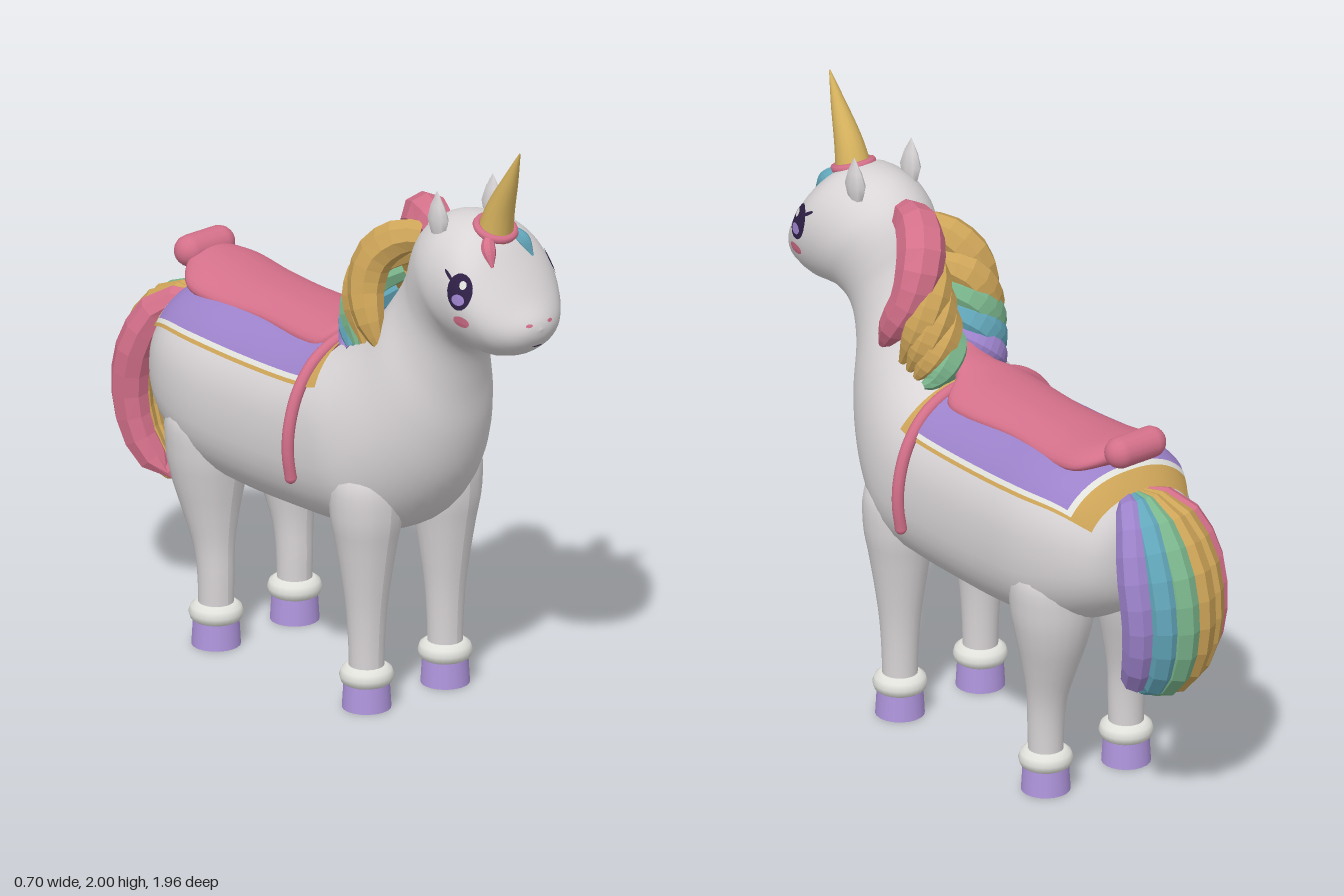
import * as THREE from 'three';

const V = (x, y, z) => new THREE.Vector3(x, y, z);
const paint = (name, color) => Object.assign(new THREE.MeshStandardMaterial({ color }), { name });
const white = paint('coat white', 0xd9d5d7), pale = paint('trim white', 0xe2e2dd);
const pink = paint('rose pink', 0xd4708a), gold = paint('hair gold', 0xcda458);
const hornGold = paint('horn gold', 0xdfba62), purple = paint('violet', 0x9c82ca);
const lilac = paint('hoof lilac', 0xb096dd), green = paint('green', 0x7ab58c);
const blue = paint('blue', 0x62a6ba), dark = paint('eye dark', 0x2e2046);

// Surface through oval sections: [top z, top y, bottom z, bottom y, half width, squareness]
function ovalSurface(rows) {
  const top = new THREE.CatmullRomCurve3(rows.map(r => V(r[4], r[1], r[0])), false, 'catmullrom');
  const low = new THREE.CatmullRomCurve3(rows.map(r => V(r[5] || 2, r[3], r[2])), false, 'catmullrom');
  const pow = (v, e) => Math.sign(v) * Math.abs(v) ** e;
  return (u, a, lift = 0) => {
    const t = top.getPoint(u / (rows.length - 1)), b = low.getPoint(u / (rows.length - 1));
    const e = 2 / b.x, s = pow(Math.sin(a), e);
    const off = V(Math.max(t.x, 0) * pow(Math.cos(a), e), (t.y - b.y) / 2 * s, (t.z - b.z) / 2 * s);
    off.multiplyScalar(1 + lift / Math.max(off.length(), 0.05));
    return off.add(V(0, (t.y + b.y) / 2, (t.z + b.z) / 2));
  };
}

// Grid of points over a surface; closed grids wrap around without a seam
function gridGeometry(f, u0, u1, nu, a0, a1, na, closed, lift = 0) {
  const pos = [], idx = [], cols = closed ? na : na + 1;
  for (let i = 0; i <= nu; i++) for (let j = 0; j < cols; j++)
    pos.push(...f(u0 + (u1 - u0) * i / nu, a0 + (a1 - a0) * j / na, lift).toArray());
  for (let i = 0; i < nu; i++) for (let j = 0; j < na; j++) {
    const k = (j + 1) % cols, a = i * cols + j, b = i * cols + k, c = a + cols, d = b + cols;
    idx.push(a, b, c, b, d, c);
  }
  const g = new THREE.BufferGeometry();
  g.setAttribute('position', new THREE.Float32BufferAttribute(pos, 3));
  g.setIndex(idx);
  g.computeVertexNormals();
  return g;
}

// Tapered tube along a path, faceted for hair
function strandGeometry(points, radii, steps, sides, faceted) {
  const curve = new THREE.CatmullRomCurve3(points);
  const rad = new THREE.CatmullRomCurve3(radii.map((r, i) => V(r, i, 0)));
  let g = new THREE.TubeGeometry(curve, steps, 1, sides);
  const p = g.attributes.position, n = g.attributes.normal;
  for (let i = 0; i < p.count; i++) {
    const t = Math.floor(i / (sides + 1)) / steps;
    const c = curve.getPointAt(t), r = Math.max(rad.getPoint(t).x, 0.002);
    p.setXYZ(i, c.x + n.getX(i) * r, c.y + n.getY(i) * r, c.z + n.getZ(i) * r);
  }
  if (faceted) { g = g.toNonIndexed(); g.computeVertexNormals(); }
  return g;
}

export function createModel() {
  const model = new THREE.Group();
  model.name = 'unicorn';
  const add = (name, geo, mat, x = 0, y = 0, z = 0) => {
    const m = new THREE.Mesh(geo, mat);
    m.name = name;
    m.position.set(x, y, z);
    model.add(m);
    return m;
  };
  const hair = (name, pts, radii, mat) => add(name, strandGeometry(pts, radii, 11, 8, true), mat);

  // Rump, belly, neck and head as one skin
  const skin = ovalSurface([
    [-.72, .88, -.72, .88, 0], [-.705, 1.0, -.70, .77, .14, 2.2], [-.66, 1.08, -.65, .69, .22, 2.3],
    [-.56, 1.15, -.54, .62, .285, 2.4], [-.4, 1.17, -.4, .57, .315, 2.4], [-.2, 1.165, -.2, .55, .31, 2.4],
    [0, 1.165, 0, .55, .305, 2.4], [.12, 1.175, .2, .56, .305, 2.4], [.18, 1.2, .36, .58, .30, 2.3],
    [.24, 1.25, .48, .67, .275, 2.1], [.29, 1.31, .57, .80, .24], [.34, 1.38, .615, .95, .205],
    [.385, 1.45, .63, 1.1, .17], [.42, 1.52, .65, 1.21, .157], [.44, 1.58, .68, 1.275, .163],
    [.47, 1.64, .725, 1.305, .178], [.52, 1.69, .765, 1.31, .195], [.60, 1.73, .80, 1.305, .202],
    [.72, 1.735, .835, 1.305, .202], [.80, 1.69, .87, 1.315, .19], [.865, 1.605, .91, 1.33, .162],
    [.925, 1.52, .95, 1.36, .115], [.97, 1.465, .975, 1.395, .055], [.983, 1.43, .983, 1.43, 0],
  ]);
  const body = add('body', gridGeometry(skin, 0, 23, 92, 0, Math.PI * 2, 40, true), white);

  // Saddle blanket: gold border, white piping, violet cloth
  for (const [name, mat, u0, u1, a, lift] of [
    ['blanketBorder', gold, 1.95, 7.8, .57, .012], ['blanketPiping', pale, 2.6, 7.25, .615, .016],
    ['blanketCloth', purple, 2.74, 7.12, .675, .02]]) {
    const g = gridGeometry(skin, u0, u1, 36, a, Math.PI - a, 28, false, lift);
    add(name, g, mat);
    const under = g.clone();
    const ix = under.index.array;
    for (let i = 0; i < ix.length; i += 3) [ix[i], ix[i + 1]] = [ix[i + 1], ix[i]];
    under.computeVertexNormals();
    if (mat === gold) add('blanketLining', under, mat);
  }

  // Saddle draped over the back
  const seat = ovalSurface([
    [-.64, 1.22, -.64, 1.22, 0], [-.62, 1.25, -.62, 1.19, .08], [-.58, 1.25, -.58, 1.17, .135],
    [-.52, 1.24, -.52, 1.16, .168, 2.4], [-.4, 1.225, -.4, 1.15, .168, 2.4], [-.2, 1.22, -.2, 1.15, .152, 2.4],
    [0, 1.225, 0, 1.15, .168, 2.4], [.1, 1.235, .1, 1.15, .16, 2.4], [.15, 1.26, .14, 1.16, .09],
    [.195, 1.3, .18, 1.2, .065], [.215, 1.27, .215, 1.25, .02], [.217, 1.26, .217, 1.26, 0],
  ]);
  const draped = (u, a) => { const p = seat(u, a); p.y -= 1.1 * p.x * p.x; return p; };
  add('saddleSeat', gridGeometry(draped, 0, 11, 44, 0, Math.PI * 2, 28, true), pink);
  add('saddleCantle', new THREE.CapsuleGeometry(.052, .12, 8, 16), pink, 0, 1.235, -.64).rotation.z = Math.PI / 2;

  for (const s of [1, -1]) {
    const side = s > 0 ? 'left' : 'right';

    // Stirrup straps
    const strap = [[0, 1.19], [.12, 1.18], [.22, 1.13], [.29, 1.04], [.325, .93], [.33, .84], [.318, .76]];
    add(side + 'Strap', new THREE.TubeGeometry(
      new THREE.CatmullRomCurve3(strap.map(p => V(s * p[0], p[1], .14))), 30, .02, 10), pink);
    add(side + 'StrapEnd', new THREE.SphereGeometry(.02, 10, 8), pink, s * .318, .76, .14);

    // Legs with fluffy cuffs and hooves
    for (const [end, z, lean, k] of [['Front', .33, 0, 0], ['Back', -.395, -.035, .02]]) {
      const profile = [[.056, .06], [.058, .2], [.066, .33], [.082 + k / 2, .45], [.1 + k, .56],
        [.118 + k, .67], [.108 + k, .8], [0, .92]];
      const pts = new THREE.SplineCurve(profile.map(p => new THREE.Vector2(...p))).getPoints(24);
      pts.forEach(p => { p.x = Math.max(p.x, 0); });
      const leg = new THREE.LatheGeometry(pts, 20), lp = leg.attributes.position;
      for (let i = 0; i < lp.count; i++)
        lp.setZ(i, lp.getZ(i) + lean * THREE.MathUtils.smoothstep(lp.getY(i), .2, .6));
      leg.computeVertexNormals();
      add(side + end + 'Leg', leg, white, s * .165, 0, z);
      add(side + end + 'Cuff', new THREE.TorusGeometry(.053, .035, 10, 24), pale, s * .165, .11, z)
        .rotation.x = Math.PI / 2;
      add(side + end + 'Hoof', new THREE.CylinderGeometry(.074, .079, .085, 20), lilac, s * .165, .0425, z);
    }

    // Leaf-shaped ears
    const ear = new THREE.LatheGeometry([[.018, 0], [.034, .04], [.046, .085], [.03, .13], [0, .18]]
      .map(p => new THREE.Vector2(...p)), 8);
    const e = add(side + 'Ear', ear, white, s * .11, 1.645, .615);
    e.scale.x = .5;
    e.rotation.z = -s * .04;

    // Layered mane locks down the neck
    const colours = s > 0 ? [gold, gold, gold, green] : [gold, green, blue, purple];
    colours.forEach((mat, i) => hair(side + 'ManeLock' + (i + 1), [
      V(0, 1.52 - .07 * i, .36 - .035 * i), V(s * .075, 1.48 - .075 * i, .275 - .022 * i),
      V(s * .14, 1.36 - .055 * i, .265 - .02 * i), V(s * .165, 1.23 - .015 * i, .32 - .035 * i),
    ], [.04, .062, .055, .012], mat));
  }

  // Large swept locks at the top of the mane
  hair('pinkManeSweep', [V(0, 1.63, .5), V(.04, 1.635, .39), V(.09, 1.58, .315), V(.14, 1.46, .3),
    V(.17, 1.35, .35), V(.165, 1.25, .42)], [.055, .075, .078, .066, .052, .012], pink);
  hair('goldManeSweep', [V(-.03, 1.6, .46), V(-.07, 1.59, .39), V(-.12, 1.52, .32), V(-.15, 1.42, .31),
    V(-.17, 1.32, .35), V(-.165, 1.23, .4)], [.05, .062, .065, .06, .048, .012], gold);

  // Fanned rainbow tail
  const tailPath = [[.03, 1.05, -.64], [.085, 1.04, -.76], [.135, .91, -.875], [.14, .72, -.915],
    [.12, .55, -.875], [.08, .445, -.77], [.055, .43, -.67]];
  [pink, gold, gold, green, blue, purple].forEach((mat, i) => {
    const f = -1 + .4 * i, bend = [0, .03, .07, .075, .075, .05, 0];
    hair('tailLock' + (i + 1), tailPath.map(([x, y, z], k) =>
      V(x * f, y + (k === 6 ? .1 : k === 5 ? .02 : 0) * f * f, z + bend[k] * f * f)),
    [.04, .055, .062, .062, .058, .046, .006], mat);
  });

  // Horn and its band
  add('horn', strandGeometry([V(0, 1.66, .75), V(0, 1.78, .785), V(0, 1.9, .837), V(0, 2, .88)],
    [.064, .048, .027, .002], 16, 14, false), hornGold);
  add('hornBand', new THREE.TorusGeometry(.061, .014, 8, 24), pink, 0, 1.712, .762).rotation.x = Math.PI / 2 + .35;

  // Painted details laid onto the head along a ray
  const caster = new THREE.Raycaster();
  const hit = (from, dir) => {
    caster.set(from, dir);
    return caster.intersectObject(body)[0];
  };
  function decal(name, from, dir, rx, ry, mat, lift = .003, turn = 0, dx = 0, dy = 0) {
    const h = hit(from, dir);
    if (!h) return;
    const n = h.face.normal.clone(), right = V(0, 1, 0).cross(n).normalize(), up = n.clone().cross(right);
    const g = new THREE.RingGeometry(0, 1, 20, 3), p = g.attributes.position;
    for (let i = 0; i < p.count; i++) {
      const x = p.getX(i) * rx, y = p.getY(i) * ry, c = Math.cos(turn), s = Math.sin(turn);
      const q = h.point.clone().addScaledVector(right, dx + x * c - y * s).addScaledVector(up, dy + x * s + y * c);
      const on = hit(q.clone().addScaledVector(n, .1), n.clone().negate());
      const r = (on ? on.point : q).clone().addScaledVector(n, lift);
      p.setXYZ(i, r.x, r.y, r.z);
    }
    g.computeVertexNormals();
    add(name, g, mat);
  }
  const back = V(0, 0, -1);
  for (const s of [1, -1]) {
    const side = s > 0 ? 'left' : 'right', inward = V(-s, 0, 0), eye = V(s, 1.555, .805);
    decal(side + 'Eye', eye, inward, .045, .06, dark);
    decal(side + 'Iris', eye, inward, .024, .018, purple, .005, 0, 0, -.026);
    decal(side + 'EyeShine', eye, inward, .012, .014, pale, .006, 0, -s * .012, .024);
    decal(side + 'Lash', eye, inward, .026, .006, dark, .004, s * .7, s * .045, .045);
    decal(side + 'Cheek', V(s, 1.457, .815), inward, .032, .02, pink);
    decal(side + 'Nostril', V(s * .042, 1.45, 2), back, .012, .006, pink);
    // Forelock tufts
    const on = (x, y) => hit(V(x, y, 2), back)?.point || V(x, y, .8);
    hair(side + 'Forelock', [on(s * .045, 1.7), on(s * .068, 1.675), on(s * .085, 1.62)],
      [.016, .024, .004], s > 0 ? blue : pink);
  }
  decal('mouth', V(0, 1.372, 2), back, .02, .004, dark);

  return model;
}
